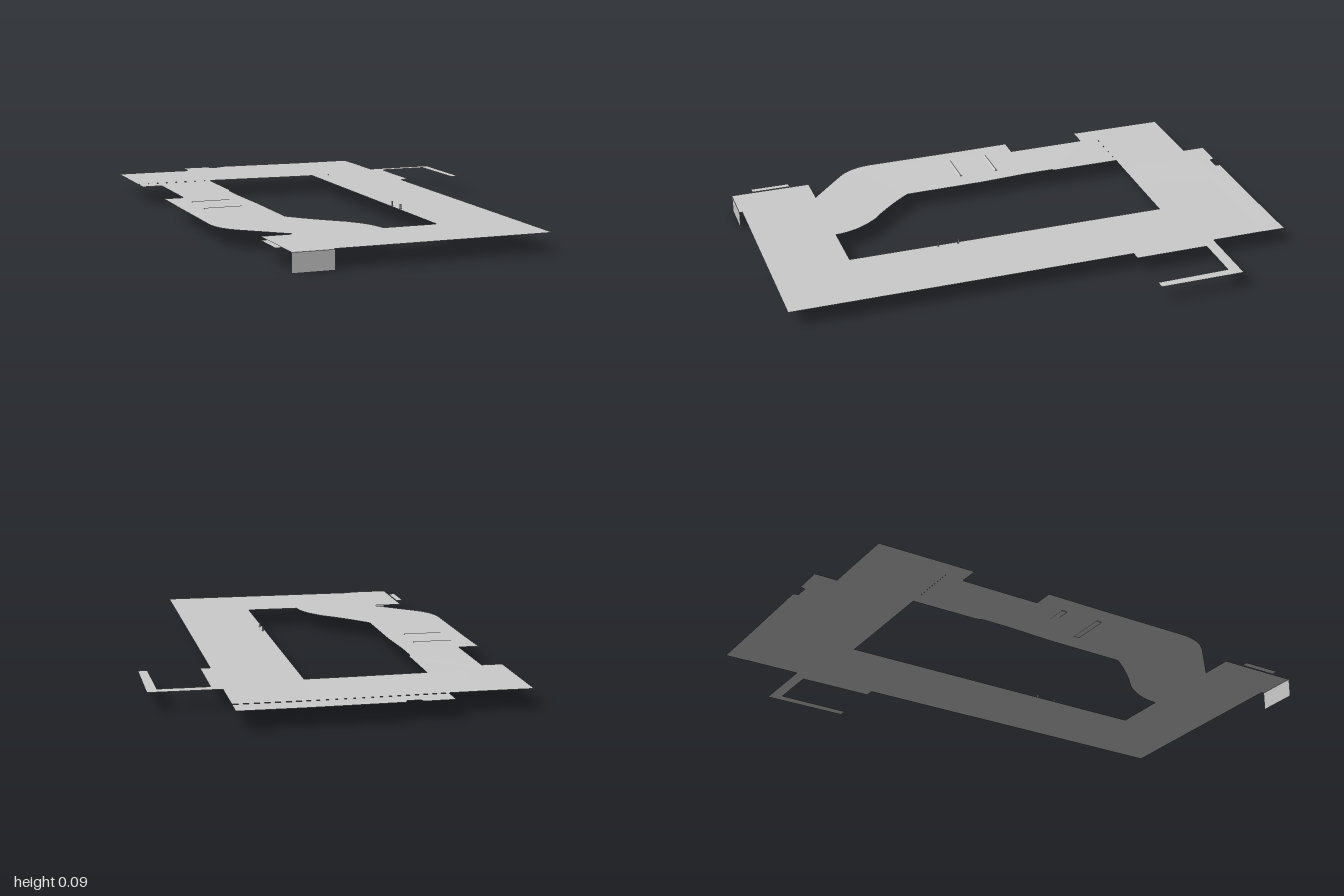
import * as THREE from 'three';

const material = new THREE.MeshStandardMaterial({ color: 0xcccccc, side: THREE.DoubleSide });
const smooth = THREE.MathUtils.smoothstep;

// Road height: almost level, rising slightly towards the back left corner
function height(x, z) {
  const left = 1 - smooth(x, -0.6, 0.2);
  const back = 1 - smooth(z, -0.5, 0.3);
  return 0.072 + 0.006 * left * back;
}

function addMesh(group, name, geometry) {
  const mesh = new THREE.Mesh(geometry, material);
  mesh.name = name;
  group.add(mesh);
  return mesh;
}

// Lays a geometry drawn in (x, -z) down as a sheet following the road height
function drape(geometry, lift = 0) {
  geometry.rotateX(-Math.PI / 2);
  const p = geometry.attributes.position;
  for (let i = 0; i < p.count; i++) p.setY(i, height(p.getX(i), p.getZ(i)) + lift);
  geometry.computeVertexNormals();
  return geometry;
}

// Rectangular sheet from its x and z limits
function sheet(group, name, x0, x1, z0, z1, lift = 0) {
  const g = new THREE.PlaneGeometry(x1 - x0, z1 - z0, Math.ceil((x1 - x0) / 0.1), Math.ceil((z1 - z0) / 0.1));
  g.translate((x0 + x1) / 2, -(z0 + z1) / 2, 0);
  return addMesh(group, name, drape(g, lift));
}

function outline(points) {
  return new THREE.Shape(points.map(([x, z]) => new THREE.Vector2(x, -z)));
}

export function createModel() {
  const group = new THREE.Group();
  group.name = 'roadLoop';

  // Straight stretches and crossings
  sheet(group, 'backCrossing', -0.68, 0.4, -0.91, -0.6);
  sheet(group, 'rightRoad', 0.09, 0.4, -0.6, 0.68);
  sheet(group, 'frontRoad', -0.585, 0.4, 0.68, 0.988);

  // Rear shoulder with a small notch in its edge
  const shoulder = outline([
    [-0.37, -0.91], [-0.37, -1], [-0.255, -1], [-0.25, -0.98], [-0.2, -0.98],
    [-0.195, -1], [0.17, -1], [0.4, -1], [0.4, -0.91], [0.17, -0.91]
  ]);
  addMesh(group, 'rearShoulder', drape(new THREE.ShapeGeometry(shoulder), -0.001));

  // Left road: stepped outer edge, then an S bend into the front road
  const left = outline([[-0.68, -0.6], [-0.68, -0.525], [-0.6, -0.525], [-0.6, -0.21], [-0.68, -0.21]]);
  left.lineTo(-0.68, 0);
  left.lineTo(-0.68, -0.4);
  left.bezierCurveTo(-0.675, -0.46, -0.655, -0.5, -0.62, -0.535);
  left.lineTo(-0.46, -0.68);
  left.lineTo(-0.12, -0.68);
  left.bezierCurveTo(-0.125, -0.61, -0.15, -0.56, -0.2, -0.5);
  left.quadraticCurveTo(-0.29, -0.42, -0.365, -0.32);
  left.lineTo(-0.368, 0);
  left.lineTo(-0.378, 0.2);
  left.lineTo(-0.378, 0.31);
  left.lineTo(-0.37, 0.33);
  left.lineTo(-0.37, 0.6);
  addMesh(group, 'leftRoad', drape(new THREE.ShapeGeometry(left, 10)));

  // Front left end: side stub and the wall dropping to the ground
  sheet(group, 'sideStub', -0.613, -0.585, 0.76, 0.915, 0.002);
  sheet(group, 'wallLedge', -0.585, -0.428, 0.988, 1);
  const wall = addMesh(group, 'frontWall', new THREE.PlaneGeometry(0.157, 0.072));
  wall.position.set(-0.507, 0.036, 0.999);

  // U-shaped path beside the right road
  const path = outline([
    [0.4, -0.695], [0.67, -0.695], [0.67, -0.36], [0.635, -0.36],
    [0.63, -0.648], [0.438, -0.648], [0.438, -0.36], [0.4, -0.36]
  ]);
  addMesh(group, 'sidePath', drape(new THREE.ShapeGeometry(path)));

  // Speed bumps: low wedges across the left road
  for (const z of [-0.09, 0.065]) {
    const profile = new THREE.Shape([
      new THREE.Vector2(-0.012, -0.002), new THREE.Vector2(0.012, -0.002), new THREE.Vector2(0, 0.004)
    ]);
    const g = new THREE.ExtrudeGeometry(profile, { depth: 0.15, bevelEnabled: false });
    g.rotateY(Math.PI / 2);
    const bump = addMesh(group, 'speedBump', g);
    bump.position.set(-0.6, height(-0.5, z), z);
  }

  // Tiny posts on the inner edge of the right road
  for (const z of [0.25, 0.33]) {
    const post = addMesh(group, 'post', new THREE.BoxGeometry(0.005, 0.018, 0.005));
    post.position.set(0.1, 0.081, z);
  }
  return group;
}
